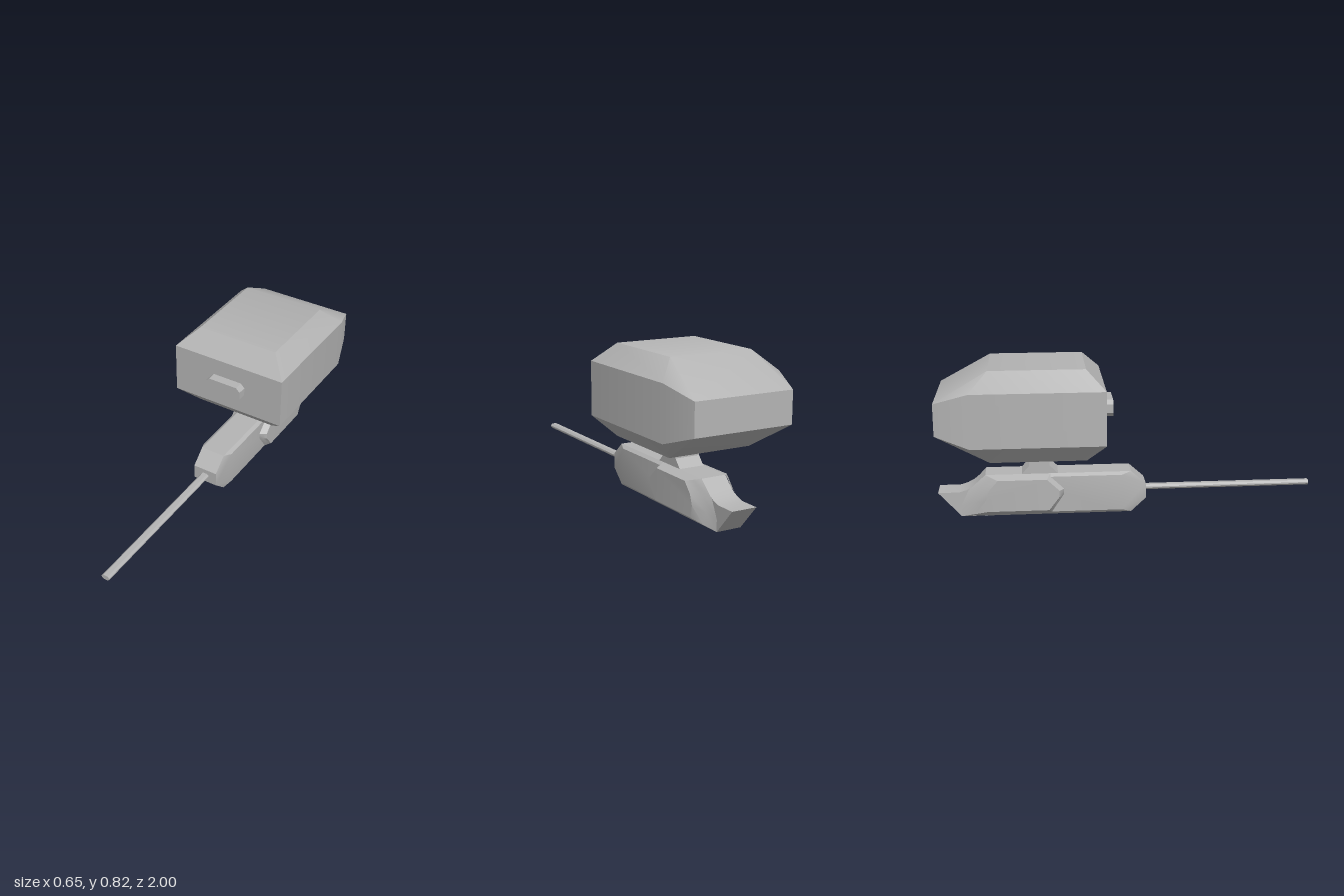
import * as THREE from 'three';
import { toCreasedNormals } from 'three/addons/utils/BufferGeometryUtils.js';
import { ConvexGeometry } from 'three/addons/geometries/ConvexGeometry.js';

const CREASE = Math.PI / 6;

// Points mirrored to both sides: [x, y, z]
function hull(points) {
  const all = points.flatMap(([x, y, z]) => [new THREE.Vector3(x, y, z), new THREE.Vector3(-x, y, z)]);
  return toCreasedNormals(new ConvexGeometry(all), CREASE);
}

// Side profile of [z, y] points, extruded across x
function sideExtrude(profile, width) {
  const shape = new THREE.Shape(profile.map(([z, y]) => new THREE.Vector2(z, y)));
  const geo = new THREE.ExtrudeGeometry(shape, { depth: width, bevelEnabled: false });
  geo.translate(0, 0, -width / 2).rotateY(-Math.PI / 2);
  return toCreasedNormals(geo, CREASE);
}

// Chamfered rectangle facing the front, running from z0 to z1
function chamferedBar(w, h, c, y, z0, z1) {
  const a = w / 2, b = h / 2;
  const pts = [[a, c - b], [a, b - c], [a - c, b], [c - a, b], [-a, b - c], [-a, c - b], [c - a, -b], [a - c, -b]];
  const shape = new THREE.Shape(pts.map(p => new THREE.Vector2(...p)));
  const geo = new THREE.ExtrudeGeometry(shape, { depth: z1 - z0, bevelEnabled: false });
  return geo.translate(0, y, z0);
}

// Skin between successive loops with a cap on the last; side -1 mirrors it
function loft(loops, side) {
  const pos = [];
  const tri = (...p) => (side > 0 ? p : p.reverse()).forEach(([x, y, z]) => pos.push(x * side, y, z));
  const n = loops[0].length;
  for (let k = 0; k + 1 < loops.length; k++) {
    const a = loops[k], b = loops[k + 1];
    for (let i = 0; i < n; i++) {
      const j = (i + 1) % n;
      tri(a[i], a[j], b[j]);
      tri(a[i], b[j], b[i]);
    }
  }
  const cap = loops[loops.length - 1];
  for (let i = 1; i + 1 < n; i++) tri(cap[0], cap[i], cap[i + 1]);
  const geo = new THREE.BufferGeometry();
  geo.setAttribute('position', new THREE.Float32BufferAttribute(pos, 3));
  return toCreasedNormals(geo, CREASE);
}

export function createModel() {
  const group = new THREE.Group();
  const grey = new THREE.MeshStandardMaterial({ color: 0xb4b4b4 });
  grey.name = 'grey';
  const add = (name, geo) => {
    const mesh = new THREE.Mesh(geo, grey);
    mesh.name = name;
    group.add(mesh);
  };

  // Large bevelled housing with a tapered rear
  add('housing', hull([
    [0.228, 0.34, -0.222], [0.228, 0.34, -0.715],
    [0.325, 0.44, -0.125], [0.325, 0.44, -0.81],
    [0.325, 0.72, -0.125], [0.325, 0.72, -0.81],
    [0.228, 0.817, -0.222], [0.228, 0.817, -0.715],
    [0.27, 0.497, -0.987], [0.27, 0.663, -0.987],
  ]));
  add('frontWindow', chamferedBar(0.21, 0.09, 0.022, 0.579, -0.14, -0.075));

  // Neck flaring onto the lower body
  add('neck', sideExtrude([
    [-0.364, 0.222], [-0.412, 0.27], [-0.412, 0.345], [-0.519, 0.345], [-0.519, 0.27], [-0.562, 0.222],
  ], 0.138));

  // Lower body with chamfered nose
  add('body', hull([
    [0.069, 0.074, 0.1], [0.069, 0.154, 0.1],
    [0.069, 0.226, 0.02], [0.069, 0, 0.02],
    [0.088, 0.212, -0.03], [0.088, 0.018, -0.03],
    [0.088, 0.212, -0.69], [0.088, 0.018, -0.69],
    [0.069, 0.226, -0.75], [0.069, 0, -0.75],
  ]));

  // Upswept tail
  add('tail', sideExtrude([
    [-0.7, 0], [-0.7, 0.226], [-0.75, 0.226], [-0.785, 0.188], [-0.815, 0.163],
    [-0.85, 0.145], [-0.89, 0.133], [-1, 0.133], [-0.88, 0],
  ], 0.136));

  // Side pods, hollowed where they sweep into the tail
  const base = [
    [0.069, 0.226, -0.408], [0.088, 0.144, -0.337], [0.088, 0.112, -0.34], [0.075, 0.008, -0.4],
    [0.068, 0, -0.877], [0.068, 0.06, -0.88], [0.068, 0.145, -0.84], [0.069, 0.226, -0.75],
  ];
  const outer = [
    [0.122, 0.207, -0.428], [0.122, 0.144, -0.362], [0.122, 0.108, -0.364], [0.122, 0.038, -0.418],
    [0.122, 0.038, -0.74], [0.122, 0.1, -0.75], [0.122, 0.152, -0.733], [0.122, 0.207, -0.685],
  ];
  const middle = base.map((p, i) => p.map((v, k) => (v + outer[i][k]) / 2));
  for (const i of [5, 6]) middle[i][0] = 0.084;
  add('leftPod', loft([base, middle, outer], 1));
  add('rightPod', loft([base, middle, outer], -1));

  // Long thin barrel
  add('barrel', chamferedBar(0.046, 0.027, 0.01, 0.116, 0.08, 1));

  return group;
}
